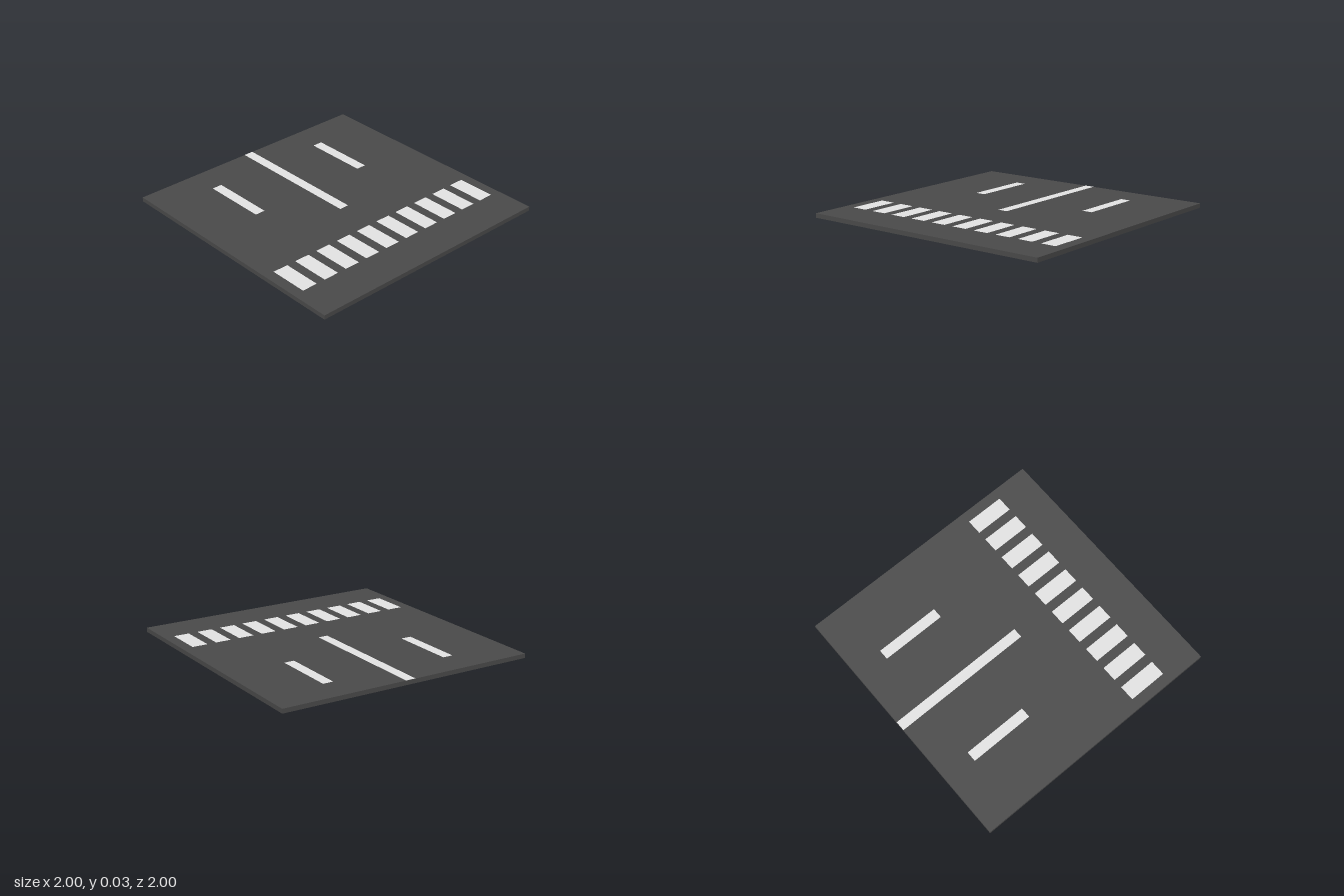
import * as THREE from 'three';

export function createModel() {
  const model = new THREE.Group();
  model.name = 'roadTile';

  const asphalt = new THREE.MeshStandardMaterial({ name: 'asphalt grey', color: 0x4a4a4a, side: THREE.DoubleSide });
  const paint = new THREE.MeshStandardMaterial({ name: 'road paint', color: 0xe5e5e5 });

  const slabTop = 0.033;

  // Road slab: a shallow shell with a top and four walls, open underneath
  const shell = new THREE.BoxGeometry(2, slabTop, 2);
  const bottomFace = shell.groups[3];
  const faces = Array.from(shell.index.array);
  faces.splice(bottomFace.start, bottomFace.count);
  shell.setIndex(faces);
  shell.clearGroups();
  const slab = new THREE.Mesh(shell, asphalt);
  slab.name = 'roadSlab';
  slab.position.y = slabTop / 2;
  model.add(slab);

  // Flat painted rectangle spanning x0..x1, centred on z
  function addMarking(name, x0, x1, z, depth) {
    const mesh = new THREE.Mesh(new THREE.PlaneGeometry(x1 - x0, depth), paint);
    mesh.name = name;
    mesh.rotation.x = -Math.PI / 2;
    mesh.position.set((x0 + x1) / 2, slabTop + 0.001, z);
    model.add(mesh);
  }

  // Centre line running in from the left edge of the tile
  addMarking('centreLine', -1, 0.101, 0, 0.077);

  // Lane dashes on both sides of the centre line
  for (const side of [-1, 1]) addMarking('laneDash', -0.755, -0.25, side * 0.5, 0.08);

  // Pedestrian crossing bars
  const barCount = 10;
  const barSpacing = 0.191;
  for (let i = 0; i < barCount; i++) {
    addMarking('crossingBar', 0.4, 0.7, (i - (barCount - 1) / 2) * barSpacing, 0.12);
  }

  return model;
}
